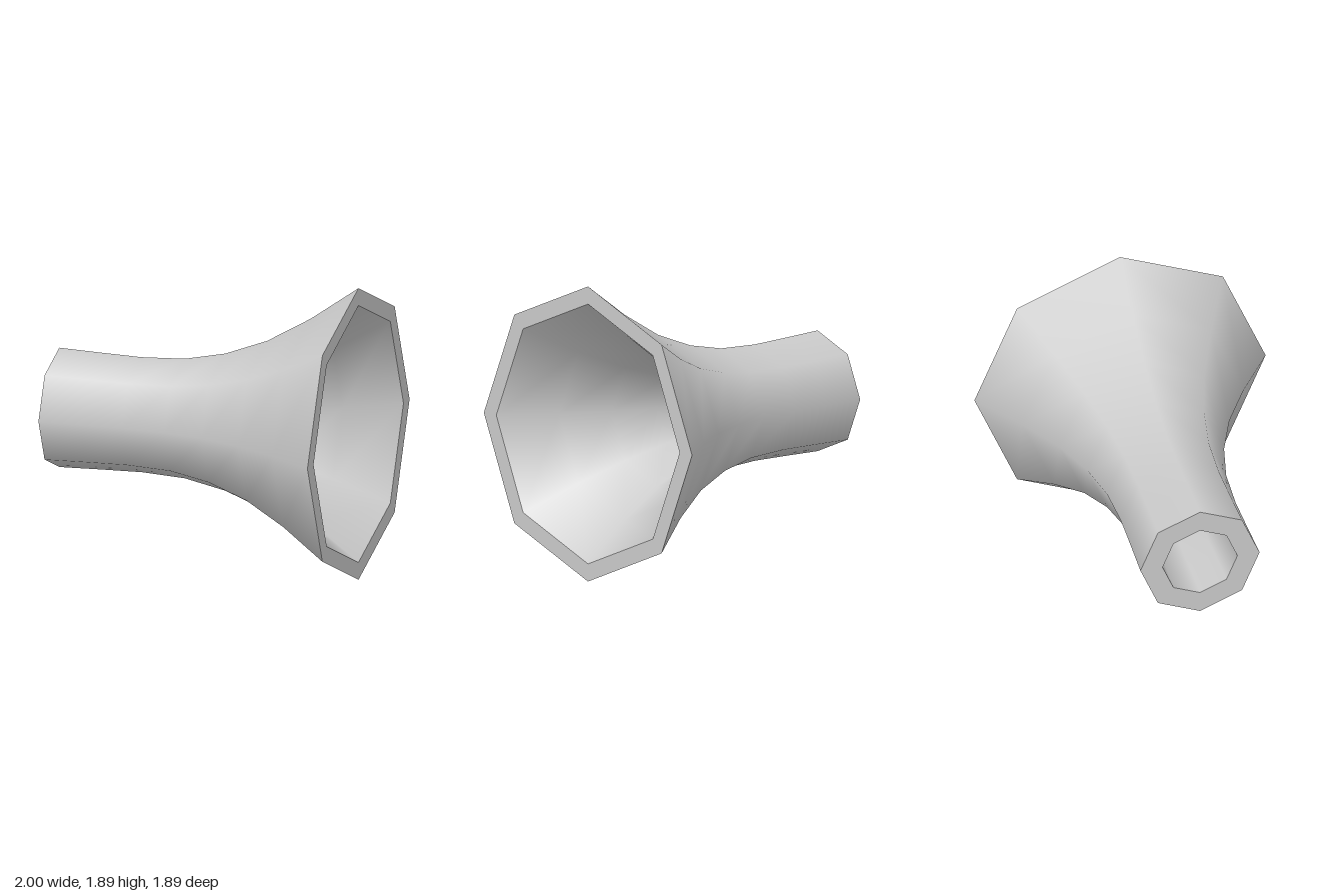
import * as THREE from 'three';

const SIDES = 8;
const CENTRE_Y = 0.946;

// Stations along the horn: position on the axis, outer radius, inner radius
const STATIONS = [
  [-1, 0.387, 0.243],
  [-0.72, 0.379, 0.235],
  [-0.45, 0.373, 0.228],
  [-0.16, 0.388, 0.243],
  [0.11, 0.445, 0.3],
  [0.39, 0.552, 0.42],
  [0.68, 0.72, 0.595],
  [1, 0.946, 0.833],
];

export function createModel() {
  const group = new THREE.Group();
  group.name = 'flaredHorn';
  const material = new THREE.MeshStandardMaterial({ color: 0xcccccc });

  // Eight-sided surface of revolution laid along the x axis
  const addSurface = (name, profile) => {
    const points = profile.map(([along, radius]) => new THREE.Vector2(radius, along));
    const geometry = new THREE.LatheGeometry(points, SIDES).rotateZ(-Math.PI / 2);
    const mesh = new THREE.Mesh(geometry, material);
    mesh.name = name;
    mesh.position.y = CENTRE_Y;
    group.add(mesh);
  };

  const outer = STATIONS.map(([x, r]) => [x, r]);
  const inner = STATIONS.map(([x, , r]) => [x, r]).reverse();

  addSurface('outerWall', outer);
  addSurface('innerBore', inner);
  // Flat rings closing the wall thickness at both ends
  addSurface('bellRim', [outer.at(-1), inner[0]]);
  addSurface('throatRim', [inner.at(-1), outer[0]]);

  return group;
}
